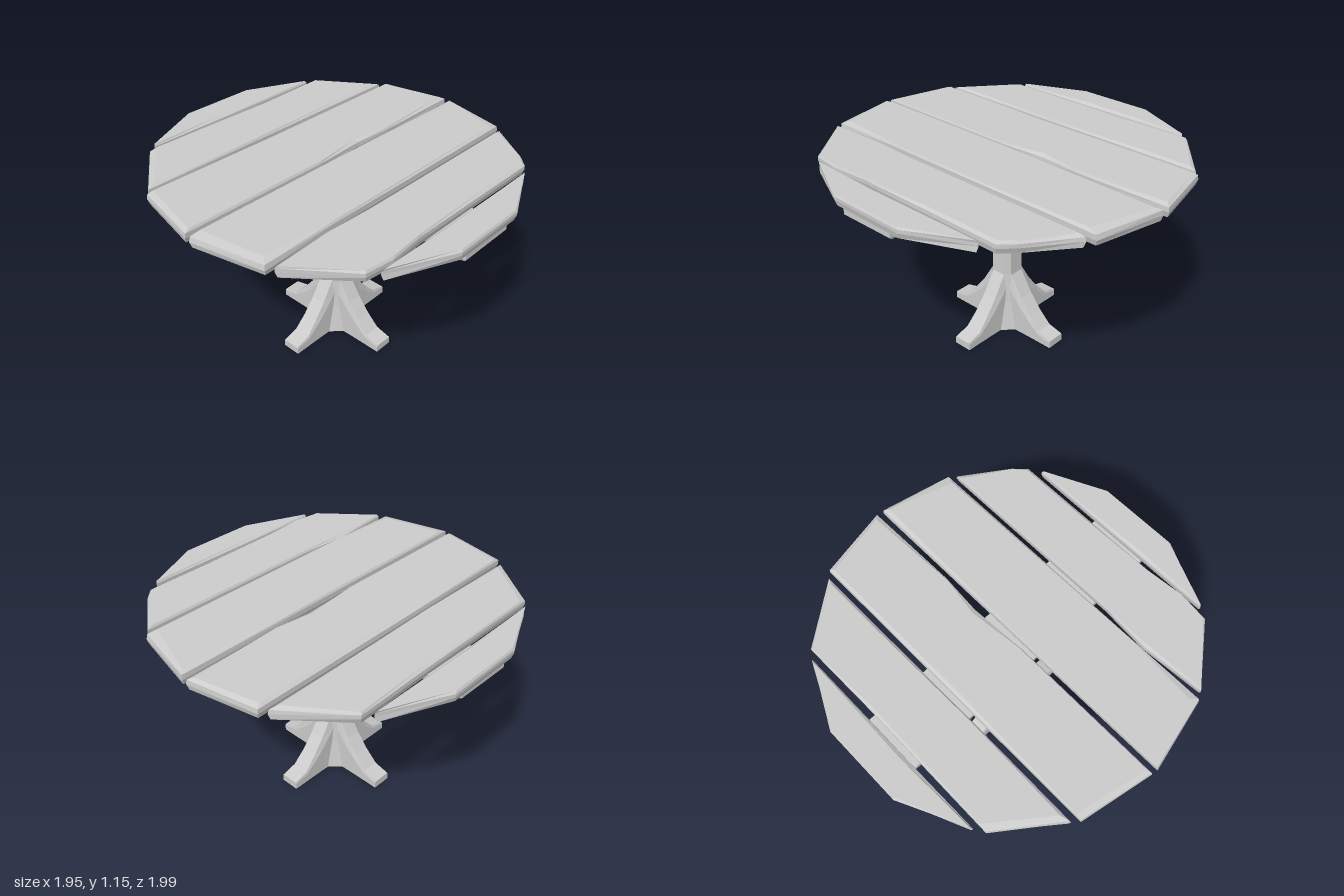
import * as THREE from 'three';

const material = new THREE.MeshStandardMaterial({ color: 0xcccccc, flatShading: true });

// Skins a stack of equal-length rings and closes both ends.
// Rings run clockwise as seen from the far end of the stack.
function loft(name, rings) {
  const pos = [];
  const tri = (a, b, c) => pos.push(...a, ...b, ...c);
  const n = rings[0].length;
  const centre = ring => [0, 1, 2].map(k => ring.reduce((s, p) => s + p[k], 0) / n);
  for (let r = 0; r < rings.length - 1; r++) {
    for (let i = 0; i < n; i++) {
      const j = (i + 1) % n, lo = rings[r], hi = rings[r + 1];
      tri(lo[j], lo[i], hi[i]);
      tri(lo[j], hi[i], hi[j]);
    }
  }
  const first = rings[0], last = rings[rings.length - 1];
  const c0 = centre(first), c1 = centre(last);
  for (let i = 0; i < n; i++) {
    const j = (i + 1) % n;
    tri(c0, first[i], first[j]);
    tri(c1, last[j], last[i]);
  }
  const geometry = new THREE.BufferGeometry();
  geometry.setAttribute('position', new THREE.Float32BufferAttribute(pos, 3));
  geometry.computeVertexNormals();
  const mesh = new THREE.Mesh(geometry, material);
  mesh.name = name;
  return mesh;
}

const rect = (x, z, y) => [[-x, y, -z], [x, y, -z], [x, y, z], [-x, y, z]];

// Square section with cut corners: h is the half width, c the half width of each flat
const cutSquare = (h, c, y) => [
  [-c, y, -h], [c, y, -h], [h, y, -c], [h, y, c],
  [c, y, h], [-c, y, h], [-h, y, c], [-h, y, -c],
];

// Plank outlines: [x, z, chipX, chipZ], where the chips pull the top edge inwards
const planks = [
  { top: 1.13, outline: [[-0.975, -0.24], [-0.8, -0.59], [-0.8, 0.1, 0.015], [-0.8, 0.58], [-0.975, 0.22]] },
  { top: 1.133, outline: [[-0.77, -0.64], [-0.45, -0.89, 0.01, 0.04], [-0.45, -0.55, 0.01], [-0.45, 0.2],
    [-0.455, 0.875, 0.01, 0.05], [-0.77, 0.635, 0, 0.04], [-0.765, -0.2, 0.01]] },
  { top: 1.137, outline: [[-0.42, -0.92, 0.01, 0.02], [-0.02, -1, 0.02, 0.02], [-0.015, -0.45], [-0.03, -0.22, 0.02],
    [-0.015, 0.1], [-0.02, 0.985, 0, 0.025], [-0.42, 0.905, 0, 0.03], [-0.42, 0.05, 0.015]] },
  { top: 1.14, outline: [[0.015, -0.995, 0.02, 0.02], [0.415, -0.91, 0.01, 0.05], [0.415, 0.45],
    [0.42, 0.9, 0.035, 0.03], [0.015, 0.99, 0, 0.055], [0.015, 0]] },
  { top: 1.133, outline: [[0.45, -0.88, 0, 0.03], [0.7, -0.7], [0.765, -0.635, 0.01], [0.765, -0.25, 0.01],
    [0.765, 0.25], [0.785, 0.47], [0.765, 0.635], [0.455, 0.875], [0.43, 0.52, 0.01], [0.45, 0.25]] },
  { top: 1.13, outline: [[0.8, -0.57], [0.97, -0.235], [0.97, 0.22], [0.8, 0.575], [0.8, 0.15, 0.01]] },
];

function makePlank({ top, outline }) {
  const xs = outline.map(p => p[0]);
  const cx = (Math.min(...xs) + Math.max(...xs)) / 2;
  const ring = (y, inset, chip) => outline.map(([x, z, chipX = 0, chipZ = 0]) => {
    const px = x - Math.sign(x - cx) * (inset + chip * chipX);
    const pz = z - Math.sign(z) * (inset + chip * chipZ);
    return [px, y + 0.016 * pz, pz]; // the whole top leans slightly
  });
  return loft('plank', [ring(1.07, 0.008, 0), ring(1.1, 0, 0), ring(top - 0.012, 0, 0.15), ring(top, 0.007, 1)]);
}

export function createModel() {
  const table = new THREE.Group();
  table.name = 'roundPlankTable';

  // Table top
  const tableTop = new THREE.Group();
  tableTop.name = 'tableTop';
  planks.forEach(p => tableTop.add(makePlank(p)));
  table.add(tableTop);

  // Supports under the top
  table.add(loft('crossBeam', [rect(0.94, 0.155, 1.022), rect(0.96, 0.168, 1.04), rect(0.96, 0.168, 1.073)]));
  table.add(loft('capPlate', [rect(0.21, 0.06, 1.005), rect(0.22, 0.065, 1.03)]));
  table.add(loft('postBlock', [rect(0.102, 0.055, 0.88), rect(0.115, 0.055, 1.02)]));

  // Waisted post flaring into the hub between the feet
  table.add(loft('post', [
    cutSquare(0.12, 0.055, 0),
    cutSquare(0.09, 0.05, 0.18),
    cutSquare(0.073, 0.045, 0.37),
    cutSquare(0.064, 0.045, 0.7),
    cutSquare(0.09, 0.06, 1.02),
  ]));

  // Four feet: [distance, height, half width at the ground, half width on top]
  const sections = [
    [0, 0.37, 0.055, 0.045], [0.072, 0.365, 0.058, 0.042], [0.15, 0.235, 0.056, 0.043],
    [0.22, 0.145, 0.055, 0.045], [0.29, 0.07, 0.055, 0.05], [0.38, 0.045, 0.055, 0.052],
  ];
  for (let i = 0; i < 4; i++) {
    const foot = loft('foot', sections.map(([d, y, b, t]) => [
      [-b, 0, d], [-b, y * 0.75, d], [-t, y, d], [t, y, d], [b, y * 0.75, d], [b, 0, d],
    ]));
    foot.rotation.y = i * Math.PI / 2;
    table.add(foot);
  }
  return table;
}
